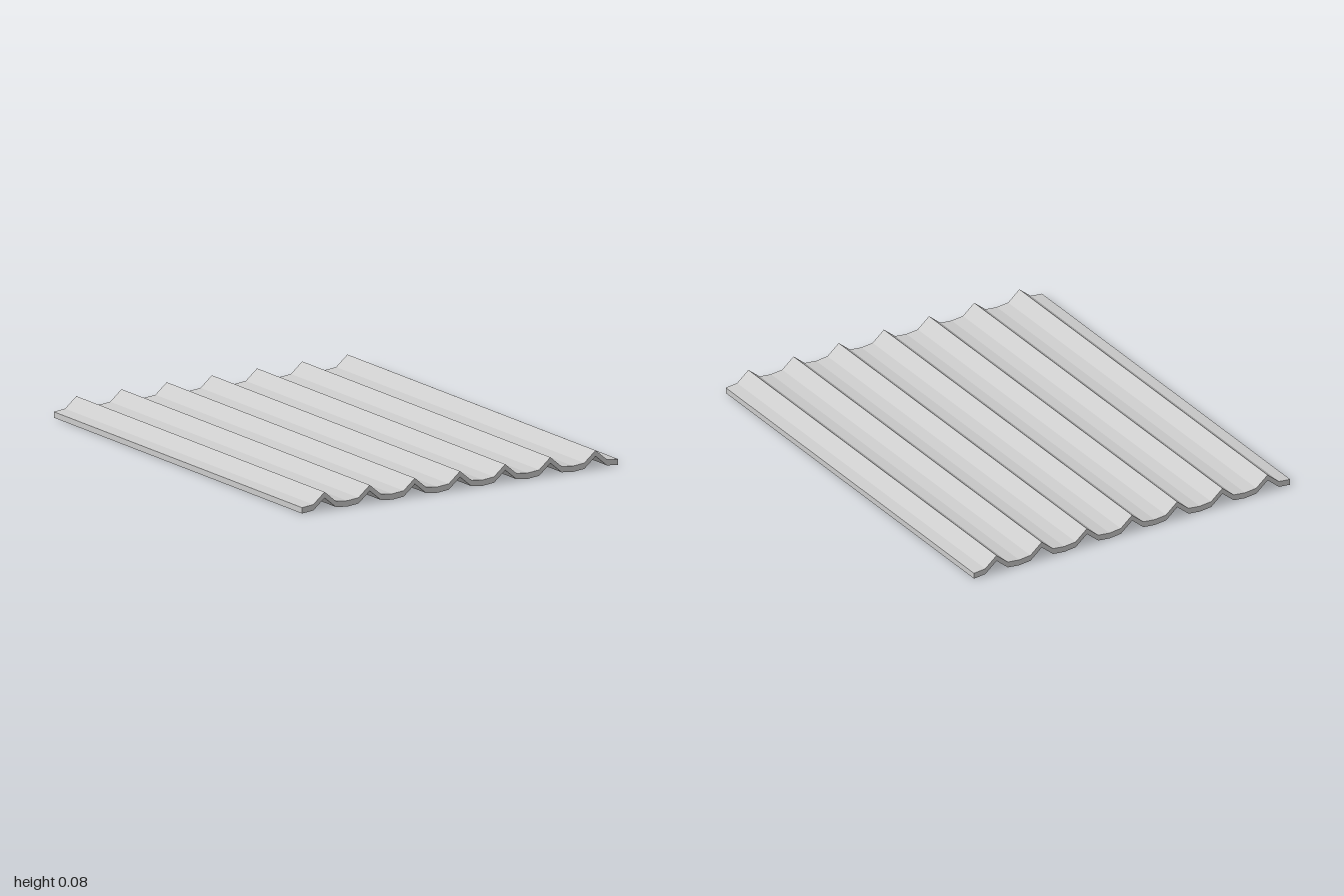
import * as THREE from 'three';

const RIDGES = 7;
const WIDTH = 1.606;
const LENGTH = 2;
const THICKNESS = 0.026;
const RIDGE_Y = 0.054; // underside heights
const FOOT_Y = 0.006;
const PITCH = WIDTH / RIDGES;

// Underside of the sheet from left to right: valley, foot, ridge, foot, valley...
function undersideProfile() {
  const points = [new THREE.Vector2(-WIDTH / 2, 0)];
  for (let i = 0; i < RIDGES; i++) {
    const x = (i - (RIDGES - 1) / 2) * PITCH;
    points.push(
      new THREE.Vector2(x - PITCH / 4, FOOT_Y),
      new THREE.Vector2(x, RIDGE_Y),
      new THREE.Vector2(x + PITCH / 4, FOOT_Y),
      new THREE.Vector2(x + PITCH / 2, 0)
    );
  }
  return points;
}

export function createModel() {
  const group = new THREE.Group();
  group.name = 'corrugatedRoofPanel';

  // Closed cross-section: underside, then the same line raised and reversed
  const underside = undersideProfile();
  const topside = underside.map((p) => new THREE.Vector2(p.x, p.y + THICKNESS)).reverse();
  const section = new THREE.Shape([...underside, ...topside]);

  // Ribbed sheet running front to back
  const geometry = new THREE.ExtrudeGeometry(section, { depth: LENGTH, bevelEnabled: false });
  geometry.translate(0, 0, -LENGTH / 2);
  const material = new THREE.MeshStandardMaterial({ color: 0xcccccc, flatShading: true });
  const sheet = new THREE.Mesh(geometry, material);
  sheet.name = 'ribbedSheet';
  group.add(sheet);

  return group;
}
